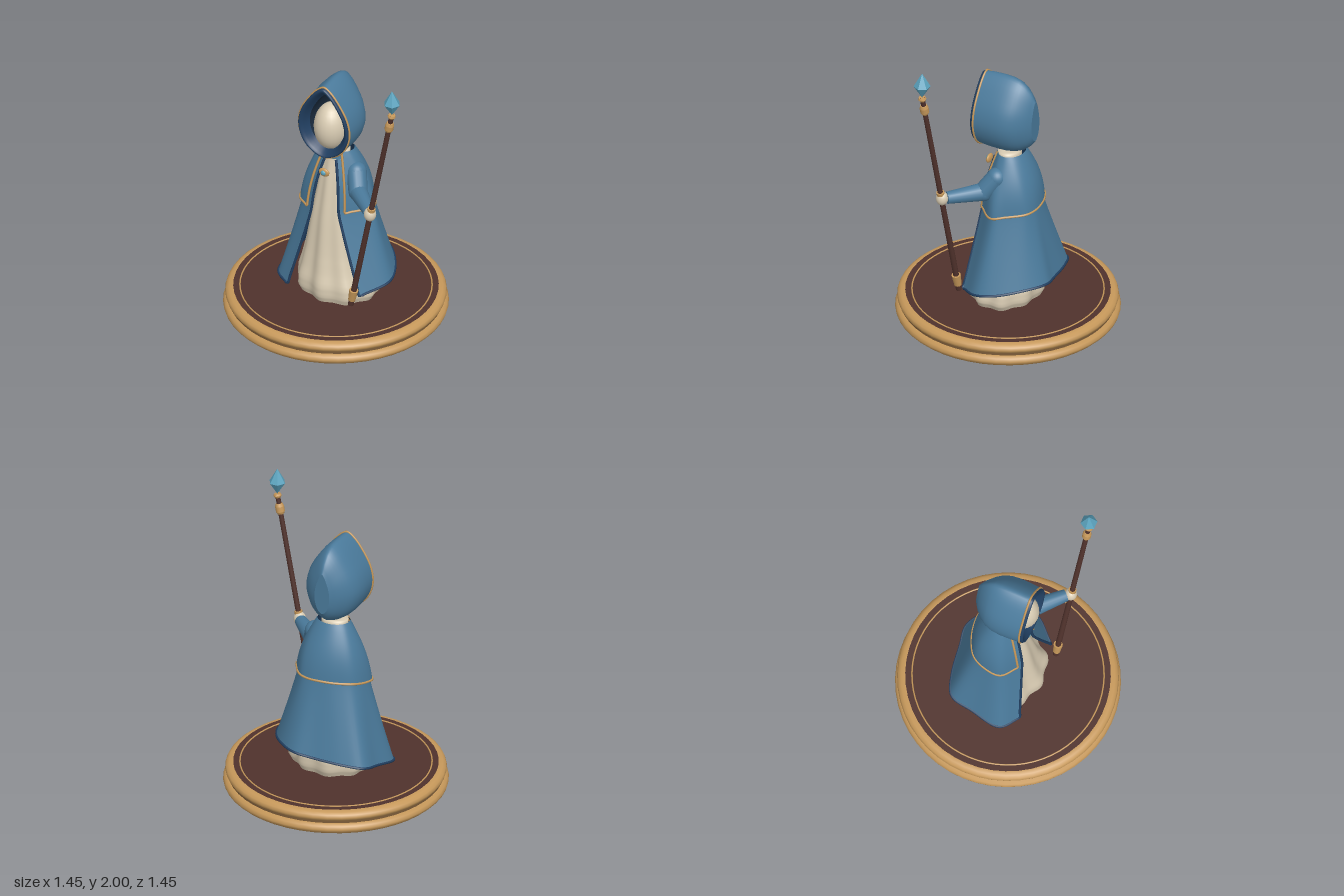
import * as THREE from 'three';

const V = (x, y, z) => new THREE.Vector3(x, y, z);
const mat = (name, color) => Object.assign(new THREE.MeshStandardMaterial({ color }), { name });

// Grid surface from fn(u, v); u may wrap round, flip turns it inside out
function surf(fn, nu, nv, closed = false, flip = false) {
  const pos = [], idx = [], cols = closed ? nu : nu + 1;
  for (let j = 0; j <= nv; j++)
    for (let i = 0; i < cols; i++) pos.push(...fn(i / nu, j / nv).toArray());
  for (let j = 0; j < nv; j++)
    for (let i = 0; i < nu; i++) {
      const a = j * cols + i, b = j * cols + (i + 1) % cols, c = a + cols, d = b + cols;
      if (flip) idx.push(a, c, b, b, c, d);
      else idx.push(a, b, c, b, d, c);
    }
  const g = new THREE.BufferGeometry();
  g.setAttribute('position', new THREE.Float32BufferAttribute(pos, 3));
  g.setIndex(idx);
  g.computeVertexNormals();
  return g;
}

// Interpolates evenly spaced rows of numbers
function sample(rows, t) {
  const k = Math.min(rows.length - 2, Math.floor(t * (rows.length - 1)));
  const f = t * (rows.length - 1) - k;
  return rows[k].map((n, i) => n + (rows[k + 1][i] - n) * f);
}

const steps = (n, fn) => Array.from({ length: n + 1 }, (_, i) => fn(i / n));
const curve = (pts) => new THREE.CatmullRomCurve3(pts.map((p) => V(...p)));

export function createModel() {
  const model = new THREE.Group();
  model.name = 'robedFigure';
  const blue = mat('cloakBlue', 0x4a7a9b), navy = mat('trimNavy', 0x213f61);
  const gold = mat('gold', 0xc6985a), darkGold = mat('darkGold', 0x7b5b38), brown = mat('darkWood', 0x50322c);
  const cream = mat('cream', 0xd9ccb3), crystal = mat('crystalBlue', 0x5ba3be);
  const shade = mat('hoodLining', 0x1b2c3f);

  const add = (name, geo, material, parent = model) => {
    const m = new THREE.Mesh(geo, material);
    m.name = name;
    parent.add(m);
    return m;
  };
  const trim = (name, pts, r, material, closed = false) => add(name,
    new THREE.TubeGeometry(new THREE.CatmullRomCurve3(pts, closed), pts.length * 2, r, 6, closed), material);
  const lathe = (pts, n) => new THREE.LatheGeometry(pts.map((p) => new THREE.Vector2(...p)), n);
  const ball = (name, p, s, material) => {
    const m = add(name, new THREE.SphereGeometry(1, 24, 16), material);
    m.position.copy(p);
    m.scale.set(...s);
    return m;
  };
  const limb = (name, a, b, ra, rb, material, n = 16) => {
    const m = add(name, new THREE.CylinderGeometry(rb, ra, a.distanceTo(b), n), material);
    m.position.copy(a).lerp(b, 0.5);
    m.quaternion.setFromUnitVectors(V(0, 1, 0), b.clone().sub(a).normalize());
    return m;
  };

  // Round plinth
  add('plinthLowerRing', lathe([[0.6, 0.012], [0.67, 0.012], [0.7, 0.018], [0.718, 0.035], [0.723, 0.052],
    [0.715, 0.072], [0.695, 0.087], [0.6, 0.09]], 48), gold);
  add('plinthCore', new THREE.CylinderGeometry(0.692, 0.692, 0.06, 48), darkGold).position.y = 0.1;
  add('plinthBottom', new THREE.CylinderGeometry(0.665, 0.665, 0.03, 48), darkGold).position.y = 0.02;
  add('plinthUpperRing', lathe([[0.6, 0.1], [0.685, 0.1], [0.704, 0.112], [0.71, 0.13],
    [0.703, 0.147], [0.685, 0.161], [0.655, 0.167], [0.64, 0.16]], 48), gold);
  add('plinthTop', new THREE.CylinderGeometry(0.658, 0.658, 0.02, 48), brown).position.y = 0.157;
  const inlay = add('plinthInlay', new THREE.TorusGeometry(0.615, 0.005, 6, 64), gold);
  inlay.rotation.x = Math.PI / 2;
  inlay.position.y = 0.168;

  // Pleated inner robe: y, radius x, radius z, centre x, pleat depth
  const robe = [[0.165, 0.25, 0.21, 0.025, 0.01], [0.21, 0.274, 0.228, 0.025, 0.012],
    [0.28, 0.268, 0.23, 0.022, 0.012], [0.37, 0.236, 0.208, 0.013, 0.01], [0.5, 0.2, 0.186, 0.005, 0.008],
    [0.75, 0.155, 0.155, 0, 0.005], [1.0, 0.11, 0.112, 0, 0.003], [1.15, 0.088, 0.08, 0, 0.001],
    [1.222, 0.09, 0.07, 0, 0], [1.223, 0, 0, 0, 0]];
  add('innerRobe', surf((u, v) => {
    const [y, rx, rz, cx, d] = sample(robe, v), a = u * Math.PI * 2;
    const w = d * (Math.cos(a * 9 + 0.8) + 0.4 * Math.sin(a * 4));
    return V(cx + (rx + w) * Math.sin(a), y, -0.015 * v + (rz + w) * Math.cos(a));
  }, 90, 27, true), cream);
  const collar = add('collar', new THREE.CylinderGeometry(0.09, 0.1, 0.05, 24, 1, true, -1, 2), blue);
  collar.position.set(0, 1.195, -0.03);

  // Cloak outlines, running from one front edge round the back to the other
  const neck = curve(steps(10, (t) => {
    const a = -0.6 - t * (Math.PI * 2 - 1.2);
    return [0.11 * Math.sin(a), 1.22, -0.03 + 0.085 * Math.cos(a)];
  }));
  const waist = curve([[-0.14, 0.8, 0.13], [-0.235, 0.8, 0.05], [-0.24, 0.82, -0.05], [-0.2, 0.845, -0.15],
    [-0.1, 0.855, -0.21], [0, 0.86, -0.235], [0.08, 0.86, -0.235], [0.15, 0.86, -0.21],
    [0.23, 0.85, -0.1], [0.262, 0.835, -0.02], [0.13, 0.82, 0.12]]);
  const hem = curve([[-0.25, 0.205, 0.19], [-0.365, 0.22, 0.1], [-0.35, 0.27, -0.1], [-0.325, 0.31, -0.25],
    [-0.2, 0.33, -0.305], [0, 0.35, -0.335], [0.13, 0.37, -0.35], [0.26, 0.37, -0.27],
    [0.37, 0.34, -0.11], [0.395, 0.32, 0.02], [0.27, 0.265, 0.18]]);

  const capeAt = (u, v) => {
    const p = neck.getPoint(u).lerp(waist.getPoint(u), v), k = 1 + 0.15 * Math.sin(Math.PI * v ** 0.8);
    return V(p.x * k, p.y, p.z * k);
  };
  const cloakAt = (u, v) => {
    const s = Math.max(0, (v - 0.4) / 0.6), p = capeAt(u, Math.min(1, 0.12 + v * 2.2));
    p.x *= 0.94;
    p.z *= 0.94;
    const pull = Math.abs(2 * u - 1) ** 10;
    p.x += (u < 0.5 ? 1 : -1) * 0.032 * pull;
    p.z += 0.02 * pull;
    const h = hem.getPoint(u), f = s ** 1.08;
    return V(p.x + (h.x - p.x) * f, p.y + (h.y - p.y) * s, p.z + (h.z - p.z) * f);
  };
  const border = (fn) => [...steps(16, (t) => fn(0, t)), ...steps(48, (t) => fn(t, 1)).slice(1),
    ...steps(16, (t) => fn(1, 1 - t)).slice(1)];
  const lining = (fn) => (u, v) => fn(u, v).multiply(V(0.98, 1, 0.98));

  add('cloak', surf(cloakAt, 60, 30), blue);
  add('cloakLining', surf(lining(cloakAt), 60, 30, false, true), navy);
  trim('cloakBorder', border(cloakAt), 0.009, navy);
  add('shoulderCape', surf(capeAt, 60, 16), blue);
  add('shoulderCapeLining', surf(lining(capeAt), 60, 16, false, true), navy);
  trim('shoulderCapeBorder', border(capeAt), 0.008, gold);

  // Brooch
  ball('brooch', V(-0.01, 1.1, 0.14), [0.038, 0.03, 0.014], gold);
  ball('broochGem', V(-0.01, 1.1, 0.15), [0.018, 0.018, 0.012], crystal);

  // Hood: teardrop outline carried from back to front; rows hold width scale, height scale, z
  const half = [[0.1, 1.265], [0.16, 1.335], [0.19, 1.44], [0.172, 1.55], [0.115, 1.655], [0.05, 1.735]];
  const tear = new THREE.CatmullRomCurve3([[0, 1.225], ...half, [0, 1.765],
    ...half.slice().reverse().map(([x, y]) => [-x, y])].map(([x, y]) => V(x, y, 0)), true);
  const ring = (u, sx, sy, z) => {
    const p = tear.getPoint(u);
    return V(p.x * sx, 1.45 + (p.y - 1.45) * sy, z);
  };
  const hood = (rows) => surf((u, v) => ring(u, ...sample(rows, v)), 48, (rows.length - 1) * 2, true);
  add('hood', hood([[0.28, 0.53, -0.2], [0.52, 0.72, -0.17], [0.73, 0.87, -0.13], [0.88, 0.95, -0.09],
    [0.97, 0.99, -0.04], [1, 1, 0.02], [0.99, 0.99, 0.09], [0.965, 0.97, 0.157]]), blue);
  add('hoodBack', hood([[0, 0, -0.2], [0.28, 0.53, -0.2]]), blue);
  add('hoodRim', hood([[0.965, 0.97, 0.155], [0.955, 0.96, 0.172], [0.92, 0.935, 0.181], [0.86, 0.89, 0.178],
    [0.78, 0.83, 0.16], [0.67, 0.74, 0.115]]), navy);
  add('hoodInside', hood([[0.67, 0.74, 0.115], [0.64, 0.7, 0.02], [0.45, 0.5, -0.08], [0, 0, -0.1]]), shade);
  trim('hoodTrim', steps(47, (t) => ring(t * 47 / 48, 0.972, 0.977, 0.157)), 0.007, gold, true);
  ball('face', V(0.012, 1.435, 0.08), [0.112, 0.165, 0.125], cream);

  // Sleeve and hand
  const shoulder = V(0.15, 1.08, 0), elbow = V(0.2, 0.98, 0.07), wrist = V(0.375, 0.978, 0.24);
  ball('sleeveShoulder', shoulder, [0.066, 0.066, 0.066], blue);
  limb('upperSleeve', shoulder, elbow, 0.066, 0.062, blue);
  ball('sleeveElbow', elbow, [0.062, 0.062, 0.062], blue);
  limb('lowerSleeve', elbow, wrist, 0.06, 0.04, blue);
  ball('hand', V(0.395, 0.978, 0.265), [0.04, 0.048, 0.04], cream);

  // Staff with gold fittings and a faceted crystal
  const foot = V(0.235, 0.22, 0.23), tip = V(0.58, 1.82, 0.31);
  const at = (y) => foot.clone().lerp(tip, (y - foot.y) / (tip.y - foot.y));
  limb('staffShaft', foot, tip, 0.019, 0.016, brown, 10);
  [[0.26, 0.34, 0.024, 0.03], [1.01, 1.03, 0.026, 0.026], [1.685, 1.7, 0.022, 0.029],
    [1.7, 1.735, 0.029, 0.029], [1.735, 1.755, 0.029, 0.022], [1.795, 1.808, 0.02, 0.027],
    [1.808, 1.82, 0.027, 0.022]]
    .forEach(([a, b, ra, rb]) => limb('staffFitting', at(a), at(b), ra, rb, gold, 12));
  const gem = lathe([[0, 1.82], [0.055, 1.905], [0, 2]], 6).toNonIndexed();
  gem.rotateY(Math.PI / 6);
  gem.computeVertexNormals();
  add('staffCrystal', gem, crystal).position.set(0.58, 0, 0.31);

  return model;
}
